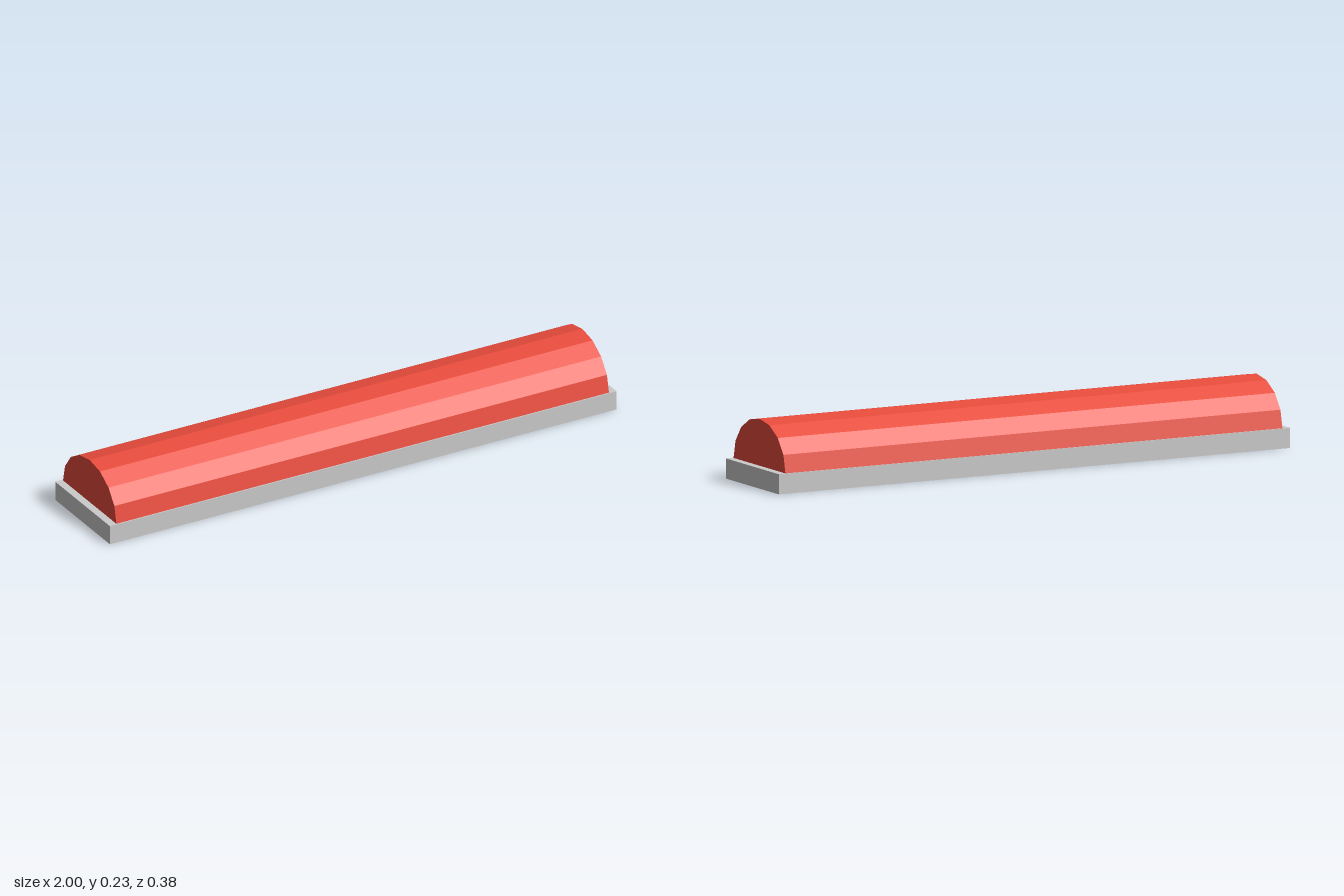
import * as THREE from 'three';

export function createModel() {
  const group = new THREE.Group();

  // Flat rectangular base
  const baseHeight = 0.07;
  const base = new THREE.Mesh(
    new THREE.BoxGeometry(2, baseHeight, 0.377),
    new THREE.MeshStandardMaterial({ color: 0xcccccc, flatShading: true })
  );
  base.name = 'base';
  base.position.y = baseHeight / 2;
  group.add(base);

  // Faceted half-round cover: eight-sided half ellipse swept along x
  const halfDepth = 0.184, rise = 0.163, length = 1.944, sides = 8;
  const points = [];
  for (let i = 0; i <= sides; i++) {
    const a = (i / sides) * Math.PI;
    points.push(new THREE.Vector2(Math.cos(a) * halfDepth, Math.sin(a) * rise));
  }
  const coverGeometry = new THREE.ExtrudeGeometry(new THREE.Shape(points), {
    depth: length, bevelEnabled: false, steps: 1,
  });
  coverGeometry.translate(0, 0, -length / 2);
  coverGeometry.rotateY(Math.PI / 2);
  const cover = new THREE.Mesh(
    coverGeometry,
    new THREE.MeshStandardMaterial({ color: 0xe74c3c, flatShading: true })
  );
  cover.name = 'cover';
  cover.position.y = baseHeight;
  group.add(cover);

  return group;
}
